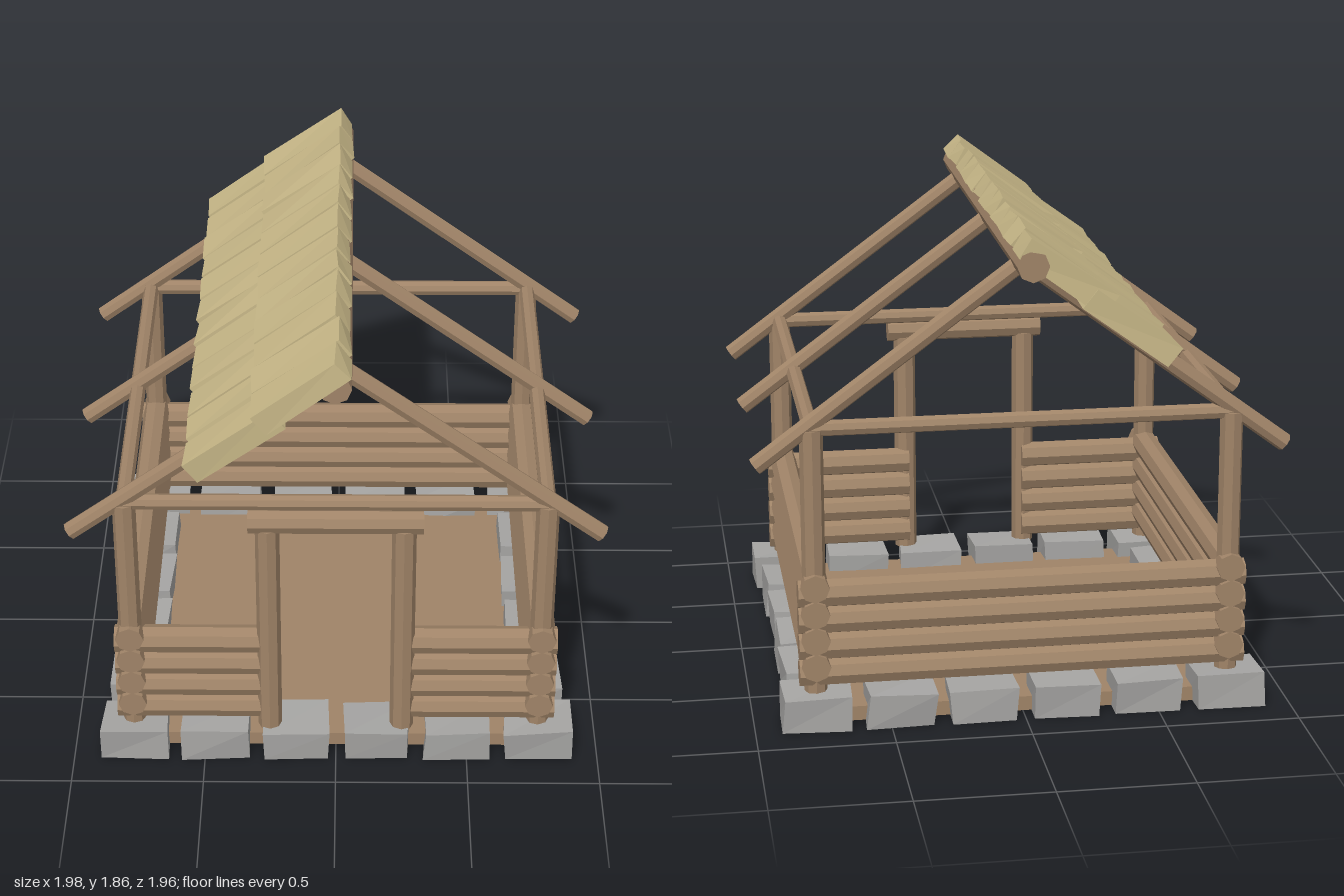
import * as THREE from 'three';

const wood = new THREE.MeshStandardMaterial({ color: 0xa08468 });
wood.name = 'wood';
const stone = new THREE.MeshStandardMaterial({ color: 0xa6a5a3 });
stone.name = 'stone';
const shingle = new THREE.MeshStandardMaterial({ color: 0xc8b888 });
shingle.name = 'shingle';

// Small seeded random, -1 to 1
let seed = 7;
function rand() {
  seed = (seed * 16807) % 2147483647;
  return (seed / 2147483647) * 2 - 1;
}

function faceted(geometry) {
  const flat = geometry.toNonIndexed();
  flat.computeVertexNormals();
  return flat;
}

// Eight-sided log between two points
function log(parent, name, from, to, radius) {
  const a = new THREE.Vector3(...from);
  const b = new THREE.Vector3(...to);
  const dir = b.clone().sub(a);
  const mesh = new THREE.Mesh(
    faceted(new THREE.CylinderGeometry(radius, radius, dir.length(), 8)), wood);
  mesh.position.copy(a).add(b).multiplyScalar(0.5);
  mesh.quaternion.setFromUnitVectors(new THREE.Vector3(0, 1, 0), dir.normalize());
  mesh.name = name;
  parent.add(mesh);
}

// Box whose eight corners are moved slightly; keepBase leaves the bottom level
function roughBox(w, h, d, amount, keepBase = false) {
  const geometry = new THREE.BoxGeometry(w, h, d);
  const shifts = Array.from({ length: 8 }, () => [rand() * amount, rand() * amount, rand() * amount]);
  const p = geometry.attributes.position;
  for (let i = 0; i < p.count; i++) {
    const x = p.getX(i), y = p.getY(i), z = p.getZ(i);
    const s = shifts[(x > 0 ? 1 : 0) + (y > 0 ? 2 : 0) + (z > 0 ? 4 : 0)];
    p.setXYZ(i, x + s[0], y + (keepBase && y < 0 ? 0 : s[1]), z + s[2]);
  }
  return faceted(geometry);
}

function group(parent, name) {
  const g = new THREE.Group();
  g.name = name;
  parent.add(g);
  return g;
}

export function createModel() {
  seed = 7;
  const model = new THREE.Group();
  model.name = 'logCabin';

  // Floor slab
  const floor = new THREE.Mesh(new THREE.BoxGeometry(1.56, 0.055, 1.56), wood);
  floor.position.y = 0.03;
  floor.name = 'floor';
  model.add(floor);

  // Ring of foundation stones
  const foundation = group(model, 'foundation');
  const addStone = (x, z, w, d) => {
    const mesh = new THREE.Mesh(roughBox(w, 0.13, d, 0.009, true), stone);
    mesh.position.set(x, 0.065, z);
    mesh.name = 'foundationStone';
    foundation.add(mesh);
  };
  for (const side of [-1, 1]) {
    for (let i = 0; i < 6; i++) addStone(-0.77 + i * 0.308, side * 0.77, 0.25, 0.195);
    for (let i = 0; i < 4; i++) addStone(side * 0.775, -0.465 + i * 0.31, 0.195, 0.25);
  }

  // Low walls of stacked logs, with a door gap at the front
  const walls = group(model, 'walls');
  for (let i = 0; i < 4; i++) {
    const yEnd = 0.2 + i * 0.102;
    const ySide = 0.235 + i * 0.102;
    log(walls, 'backLog', [-0.83, yEnd, -0.77], [0.83, yEnd, -0.77], 0.053);
    for (const side of [-1, 1]) {
      log(walls, 'frontLog', [side * 0.83, yEnd, 0.77], [side * 0.24, yEnd, 0.77], 0.053);
      log(walls, 'sideLog', [side * 0.77, ySide, -0.83], [side * 0.77, ySide, 0.83], 0.053);
    }
  }

  // Corner posts and tie beams
  const frame = group(model, 'frame');
  for (const side of [-1, 1]) {
    for (const end of [-1, 1]) {
      log(frame, 'cornerPost', [side * 0.77, 0.12, end * 0.77], [side * 0.77, 1.13, end * 0.77], 0.043);
    }
    log(frame, 'crossBeam', [-0.77, 1.132, side * 0.77], [0.77, 1.132, side * 0.77], 0.03);
    log(frame, 'sideBeam', [side * 0.77, 1.132, -0.77], [side * 0.77, 1.132, 0.77], 0.03);
  }

  // Door frame
  const door = group(model, 'doorFrame');
  for (const side of [-1, 1]) {
    log(door, 'doorPost', [side * 0.25, 0.12, 0.795], [side * 0.25, 1.04, 0.795], 0.045);
  }
  log(door, 'lintel', [-0.32, 1.065, 0.795], [0.32, 1.065, 0.795], 0.046);

  // Ridge pole and three pairs of rafters
  const roof = group(model, 'roof');
  log(roof, 'ridgePole', [0, 1.745, -0.975], [0, 1.745, 0.975], 0.058);
  for (const z of [-0.77, 0, 0.77]) {
    for (const side of [-1, 1]) {
      log(roof, 'rafter', [0, 1.722, z], [side * 0.972, 1.0, z], 0.034);
    }
  }

  // Two overlapping rows of shingles on one slope
  const rows = [
    { name: 'lowerShingle', x: -0.355, y: 1.508, length: 0.385 },
    { name: 'upperShingle', x: -0.122, y: 1.705, length: 0.375 },
  ];
  for (const row of rows) {
    for (let i = 0; i < 12; i++) {
      const mesh = new THREE.Mesh(roughBox(row.length, 0.085, 0.148, 0.007), shingle);
      mesh.position.set(row.x, row.y, -0.902 + i * 0.164);
      mesh.rotation.z = 0.64 + rand() * 0.01;
      mesh.name = row.name;
      roof.add(mesh);
    }
  }

  return model;
}
